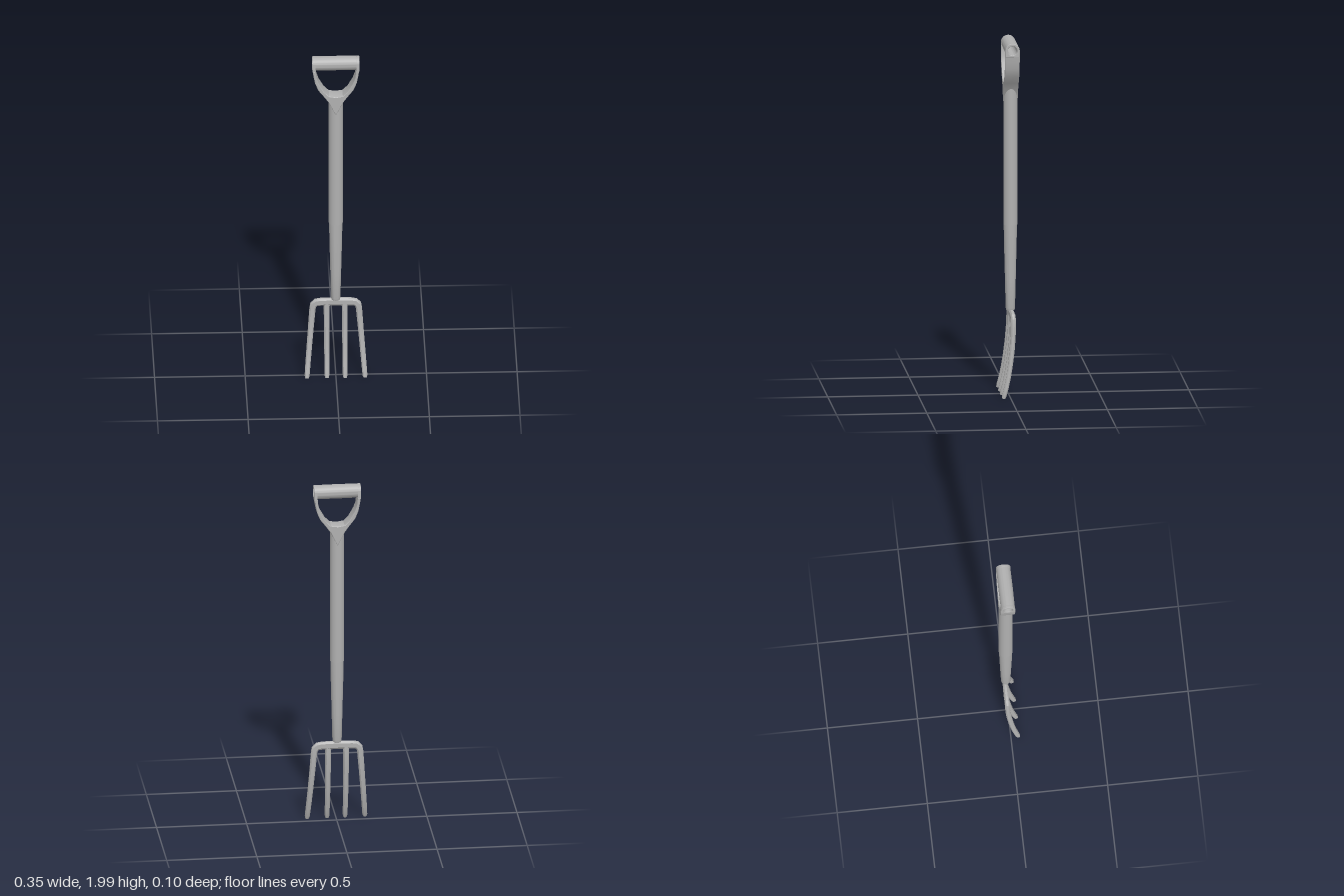
import * as THREE from 'three';
import { toCreasedNormals } from 'three/addons/utils/BufferGeometryUtils.js';

const V = (x, y, z) => new THREE.Vector3(x, y, z);
const AXIS_Z = -0.0115; // the shaft sits slightly behind the tine tips

// Sweep a chamfered bar along points; each section is [centre, width, depth]
function sweep(sections) {
  const pos = [], idx = [], N = 8;
  const corners = [[1, -0.45], [1, 0.45], [0.55, 1], [-0.55, 1], [-1, 0.45], [-1, -0.45], [-0.55, -1], [0.55, -1]];
  sections.forEach(([p, w, d], i) => {
    const a = sections[Math.max(0, i - 1)][0];
    const b = sections[Math.min(sections.length - 1, i + 1)][0];
    const t = b.clone().sub(a).normalize();
    const n = V(-t.y, t.x, 0).normalize();
    const v = t.clone().cross(n);
    for (const [cu, cv] of corners) {
      const q = p.clone().addScaledVector(n, cu * w / 2).addScaledVector(v, cv * d / 2);
      pos.push(q.x, q.y, q.z);
    }
  });
  const last = (sections.length - 1) * N;
  for (let s = 0; s < last; s += N) {
    for (let j = 0; j < N; j++) {
      const k = (j + 1) % N;
      idx.push(s + j, s + k, s + N + k, s + j, s + N + k, s + N + j);
    }
  }
  for (let j = 1; j < N - 1; j++) idx.push(0, j + 1, j, last, last + j, last + j + 1);
  const g = new THREE.BufferGeometry();
  g.setAttribute('position', new THREE.Float32BufferAttribute(pos, 3));
  g.setIndex(idx);
  return toCreasedNormals(g, 0.5);
}

// Forward curve shared by all tines: [y, z, width, depth]
const TINE = [
  [0.42, -0.016, 0.034, 0.027], [0.36, -0.014, 0.033, 0.027], [0.28, -0.008, 0.031, 0.027],
  [0.2, 0.002, 0.03, 0.026], [0.13, 0.013, 0.029, 0.025], [0.07, 0.026, 0.028, 0.024],
  [0.025, 0.038, 0.027, 0.023], [0.011, 0.042, 0.02, 0.018],
];

export function createModel() {
  const model = new THREE.Group();
  model.name = 'gardenFork';
  const grey = new THREE.MeshStandardMaterial({ color: 0xb0b0b0 });
  grey.name = 'grey';
  const add = (name, geometry, x = 0, y = 0, z = 0) => {
    const m = new THREE.Mesh(geometry, grey);
    m.name = name;
    m.position.set(x, y, z);
    model.add(m);
    return m;
  };

  // Shaft and the tapering socket below it
  add('shaft', new THREE.CylinderGeometry(0.039, 0.039, 0.775, 32), 0, 1.3475, AXIS_Z);
  const socket = [[0, 0.478], [0.023, 0.478], [0.026, 0.49], [0.03, 0.65], [0.035, 0.85], [0.037, 0.962], [0, 0.962]];
  add('socket', toCreasedNormals(new THREE.LatheGeometry(
    socket.map(([r, y]) => new THREE.Vector2(r, y)), 32), 0.6), 0, 0, AXIS_Z);

  // Outer tines and crossbar in one sweep, left tip to right tip
  const outerX = (y) => 0.128 + (0.42 - y) * 0.08;
  const half = TINE.slice().reverse().map(([y, z, w, d]) => [V(outerX(y), y, z), w, d]);
  half.push([V(0.123, 0.441, -0.016), 0.039, 0.027], [V(0.108, 0.455, -0.016), 0.043, 0.027],
    [V(0.085, 0.4585, -0.016), 0.044, 0.027]);
  const mirrored = half.slice().reverse().map(([p, w, d]) => [V(-p.x, p.y, p.z), w, d]);
  add('crossbarAndOuterTines', sweep([...half, [V(0, 0.46, -0.016), 0.046, 0.027], ...mirrored]));

  // Inner tines
  for (const s of [1, -1]) {
    const path = [[V(s * 0.049, 0.455, -0.016), 0.034, 0.026],
      ...TINE.map(([y, z, w, d]) => [V(s * 0.05, y, z), w * 0.95, d])];
    add(s > 0 ? 'innerTineLeft' : 'innerTineRight', sweep(path));
  }

  // Forked yoke between shaft and grip
  const outer = [[0.04, 1.73], [0.065, 1.765], [0.098, 1.808], [0.115, 1.85], [0.124, 1.895], [0.129, 1.93]];
  const inner = [[0.111, 1.93], [0.106, 1.885], [0.094, 1.85], [0.066, 1.8], [0.038, 1.772], [0, 1.766]];
  const right = [...outer, ...inner];
  const left = right.slice(0, -1).reverse().map(([x, y]) => [-x, y]);
  const yokeShape = new THREE.Shape([[0, 1.65], ...right, ...left].map(([x, y]) => new THREE.Vector2(x, y)));
  const yoke = new THREE.ExtrudeGeometry(yokeShape, {
    depth: 0.066, bevelThickness: 0.0075, bevelSize: 0.004, bevelOffset: -0.004, bevelSegments: 2,
  });
  yoke.translate(0, 0, -0.033);
  add('yoke', toCreasedNormals(yoke, 0.5), 0, 0, AXIS_Z);

  // Hollow grip
  const GRIP_Y = 1.96;
  const tube = [[0.026, -0.125], [0.039, -0.125], [0.04, 0], [0.039, 0.125], [0.026, 0.125], [0.026, -0.125]];
  const grip = toCreasedNormals(new THREE.LatheGeometry(
    tube.map(([r, y]) => new THREE.Vector2(r, y)), 40), 0.6);
  grip.rotateZ(Math.PI / 2);
  add('grip', grip, 0, GRIP_Y, AXIS_Z);

  // Rounded eyes at the top of each yoke arm, open through the middle
  const eye = new THREE.Shape();
  eye.moveTo(-0.04, -0.036);
  eye.lineTo(0.04, -0.036);
  eye.lineTo(0.04, 0);
  eye.absarc(0, 0, 0.04, 0, Math.PI, false);
  eye.closePath();
  const hole = new THREE.Path();
  hole.absarc(0, 0, 0.026, 0, Math.PI * 2, true);
  eye.holes.push(hole);
  const eyeGeometry = new THREE.ExtrudeGeometry(eye, {
    depth: 0.01, bevelThickness: 0.004, bevelSize: 0.003, bevelOffset: -0.003, bevelSegments: 2, curveSegments: 20,
  });
  eyeGeometry.translate(0, 0, -0.005);
  eyeGeometry.rotateY(Math.PI / 2);
  const eyeSmooth = toCreasedNormals(eyeGeometry, 0.5);
  add('gripEyeLeft', eyeSmooth, 0.121, GRIP_Y, AXIS_Z);
  add('gripEyeRight', eyeSmooth, -0.121, GRIP_Y, AXIS_Z);

  return model;
}
